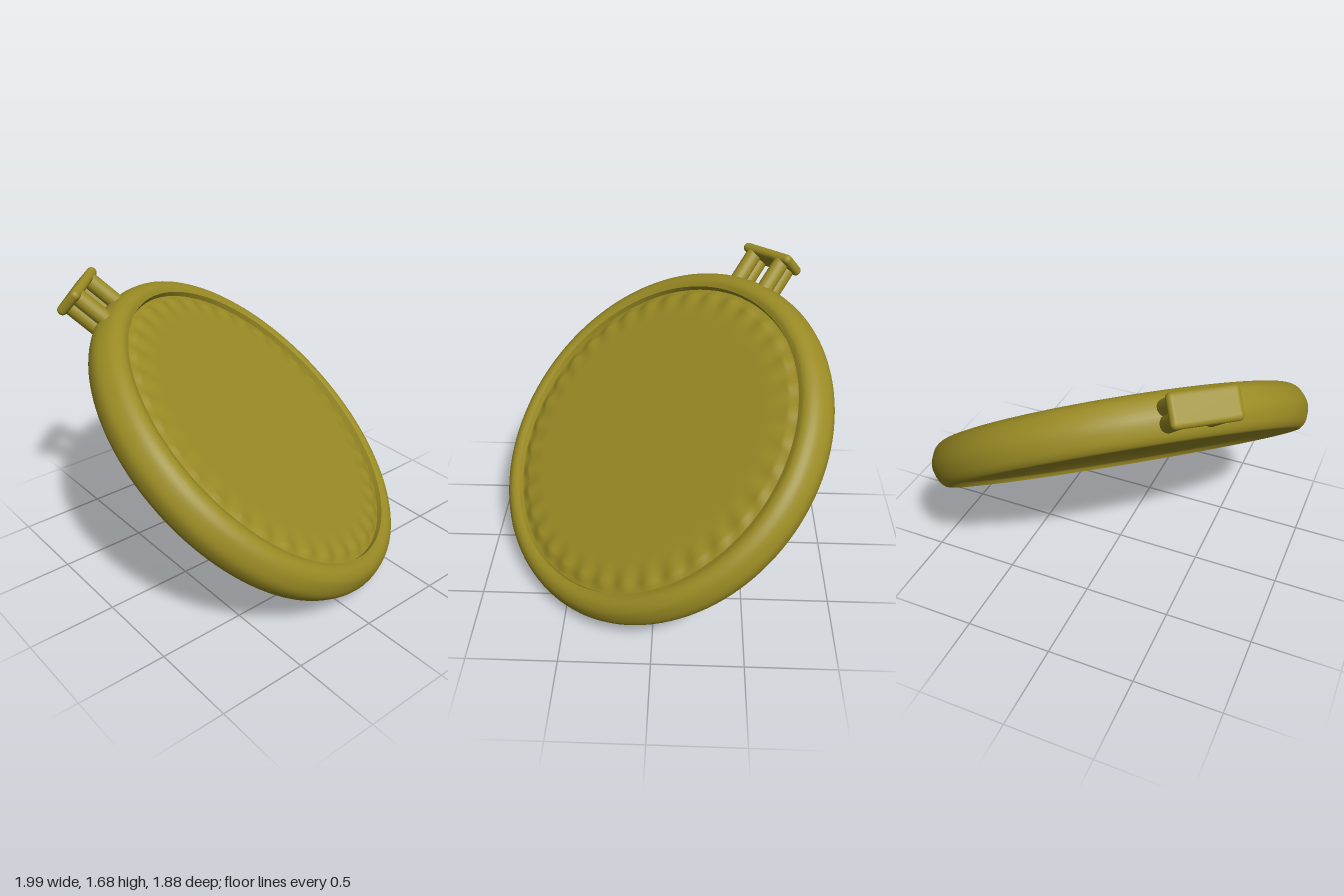
import * as THREE from 'three';
import { toCreasedNormals } from 'three/addons/utils/BufferGeometryUtils.js';
import { RoundedBoxGeometry } from 'three/addons/geometries/RoundedBoxGeometry.js';

const material = new THREE.MeshStandardMaterial({ color: 0x9a8b24 });

function part(parent, name, geometry, x = 0, y = 0, z = 0) {
  const mesh = new THREE.Mesh(geometry, material);
  mesh.name = name;
  mesh.position.set(x, y, z);
  parent.add(mesh);
  return mesh;
}

// Round case: recessed back, fat rounded rim, short inner wall at the front
function caseGeometry() {
  const outer = new THREE.SplineCurve([
    [0.988, -0.126], [1.02, -0.119], [1.055, -0.08], [1.078, 0],
    [1.055, 0.08], [1.02, 0.118], [0.98, 0.13], [0.943, 0.118],
  ].map(([r, h]) => new THREE.Vector2(r, h))).getPoints(28);
  const profile = [
    new THREE.Vector2(0, -0.098), new THREE.Vector2(0.95, -0.098),
    new THREE.Vector2(0.97, -0.106), ...outer, new THREE.Vector2(0.935, 0.07),
  ];
  return toCreasedNormals(new THREE.LatheGeometry(profile, 128), 0.6);
}

// Front plate: flat in the middle, shallow fluted border, narrow groove at the rim
function dialGeometry() {
  const teeth = 36;
  const geometry = new THREE.RingGeometry(0.001, 0.94, teeth * 8, 40);
  geometry.rotateX(-Math.PI / 2);
  const pos = geometry.attributes.position;
  for (let i = 0; i < pos.count; i++) {
    const x = pos.getX(i), z = pos.getZ(i);
    const r = Math.hypot(x, z);
    const wave = Math.cos(Math.atan2(z, x) * teeth);
    const flute = THREE.MathUtils.smoothstep(r, 0.76, 0.89);
    const groove = THREE.MathUtils.smoothstep(r, 0.885 + 0.012 * wave, 0.925);
    pos.setY(i, 0.112 + 0.006 * flute * (wave - 1) * (1 - groove) - 0.025 * groove);
  }
  geometry.computeVertexNormals();
  return geometry;
}

export function createModel() {
  const model = new THREE.Group();
  model.name = 'medallion';

  // Tilted frame: local y is the face direction, local z points to the hanger
  const face = new THREE.Vector3(0.405, 0.746, 0.529).normalize();
  const across = face.clone().cross(new THREE.Vector3(-0.548, 0.659, -0.516)).normalize();
  const toHanger = across.clone().cross(face);
  const body = new THREE.Group();
  body.name = 'tiltedBody';
  body.quaternion.setFromRotationMatrix(new THREE.Matrix4().makeBasis(across, face, toHanger));
  body.position.y = 0.775;
  model.add(body);

  part(body, 'case', caseGeometry());
  part(body, 'frontPlate', dialGeometry());

  // Hanger: paired rods on each side carrying a rounded bar
  const hanger = new THREE.Group();
  hanger.name = 'hanger';
  body.add(hanger);
  const rod = new THREE.CylinderGeometry(0.046, 0.046, 0.21, 20).rotateX(Math.PI / 2);
  for (const side of [-1, 1]) {
    for (const level of [-1, 1]) {
      part(hanger, 'hangerRod', rod, side * 0.108, level * 0.036, 1.135);
    }
  }
  part(hanger, 'hangerBar', new RoundedBoxGeometry(0.36, 0.17, 0.056, 4, 0.026), 0, 0, 1.252);

  return model;
}
